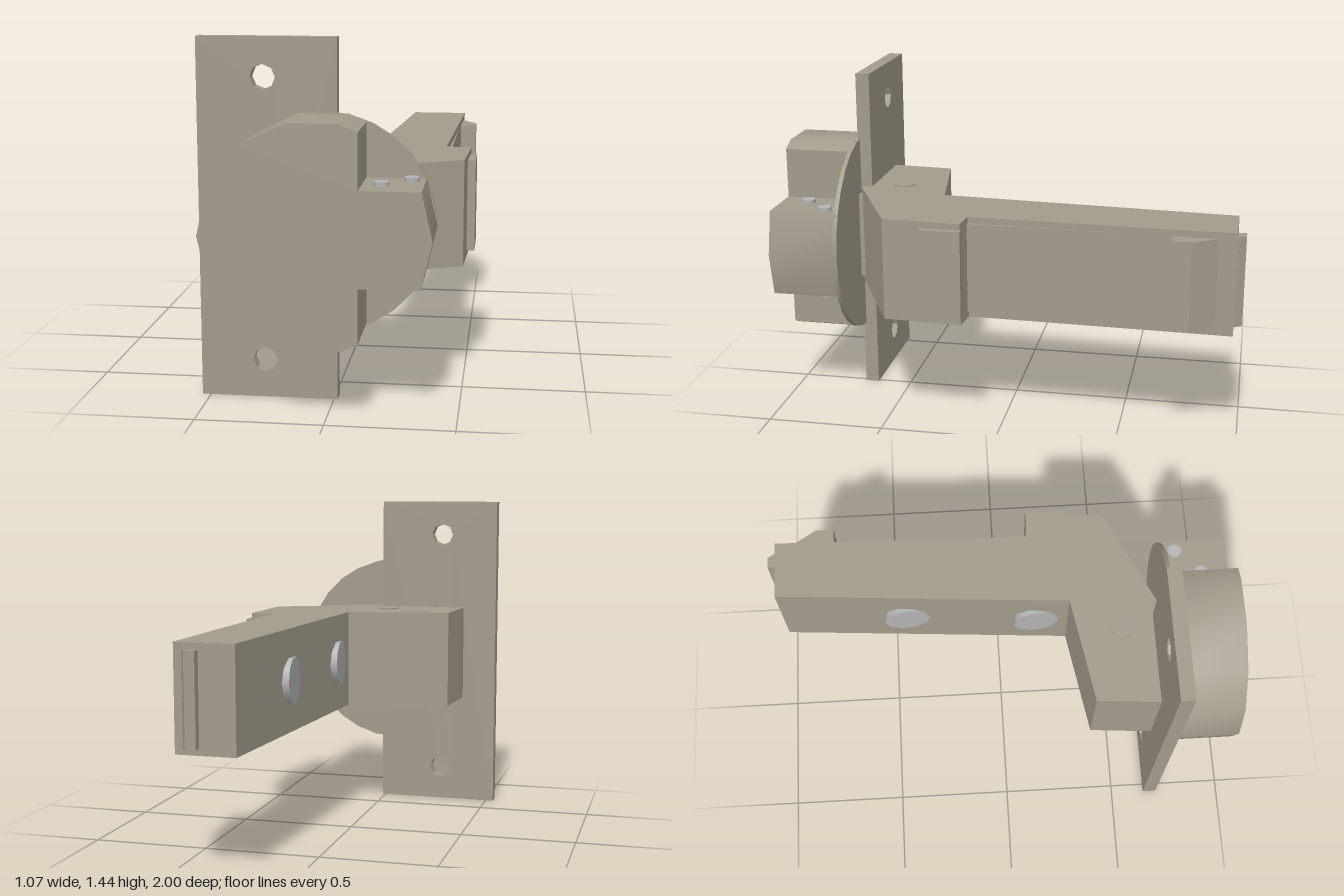
import * as THREE from 'three';
import { toCreasedNormals } from 'three/addons/utils/BufferGeometryUtils.js';

const steel = new THREE.MeshStandardMaterial({ color: 0xa39b8b });
const rivetSteel = new THREE.MeshStandardMaterial({ color: 0xb4b4b4 });
const MID = 0.72; // height of the mirror plane

export function createModel() {
  const group = new THREE.Group();

  const add = (name, geometry, material = steel) => {
    const mesh = new THREE.Mesh(geometry, material);
    mesh.name = name;
    group.add(mesh);
    return mesh;
  };
  const shapeOf = (pts) => new THREE.Shape(pts.map(([x, y]) => new THREE.Vector2(x, y)));

  // Plan outline in (x, z), extruded upward and centred on MID
  const plan = (pts, height) => {
    const g = new THREE.ExtrudeGeometry(shapeOf(pts.map(([x, z]) => [x, -z])), { depth: height, bevelEnabled: false });
    g.rotateX(-Math.PI / 2);
    g.translate(0, MID - height / 2, 0);
    return g;
  };
  // Front outline in (x, y), extruded from z0 to z1
  const front = (shape, z0, z1) => {
    const g = new THREE.ExtrudeGeometry(shape, { depth: z1 - z0, bevelEnabled: false });
    g.translate(0, 0, z0);
    return g;
  };

  // Mounting plate with two octagonal screw holes
  const plate = shapeOf([[-0.535, 0], [0.015, 0], [0.015, 1.44], [-0.535, 1.44]]);
  for (const y of [0.155, 1.285]) {
    const hole = [];
    for (let i = 0; i < 8; i++) {
      const a = (i / 8) * Math.PI * 2;
      hole.push(new THREE.Vector2(-0.275 + 0.05 * Math.cos(a), y + 0.05 * Math.sin(a)));
    }
    plate.holes.push(new THREE.Path(hole.reverse()));
  }
  add('mountingPlate', front(plate, 0.65, 0.71));

  // Fourteen-sided cup with two notches at its left side
  const cx = -0.035, r = 0.44;
  const outline = [[0.405, MID], [0.363, 0.905], [0.13, 0.905], [0.13, 1.12]];
  for (let i = 3; i <= 11; i++) {
    const a = (i / 14) * Math.PI * 2;
    outline.push([cx + r * Math.cos(a), MID + r * Math.sin(a)]);
  }
  outline.push([0.13, 0.32], [0.13, 0.535], [0.363, 0.535]);
  add('cup', toCreasedNormals(front(shapeOf(outline), 0.71, 1), 0.6));

  // Thin round rim closing the back of the cup
  const rim = new THREE.CylinderGeometry(0.4375, 0.4375, 0.018, 28);
  rim.rotateX(Math.PI / 2);
  rim.translate(cx, MID, 0.709);
  add('cupRim', rim);

  // Cranked arm
  add('arm', plan([
    [-0.382, 0.66], [-0.36, 0.38], [0.095, 0.3], [0.185, -0.965], [0.435, -0.965],
    [0.405, 0.13], [0.51, 0.14], [0.495, 0.47], [0.02, 0.7], [-0.1, 0.7], [-0.1, 0.66],
  ], 0.435));

  // Link between arm and cup
  add('cupLink', plan([[0, 0.68], [0.06, 0.68], [0.06, 0.71], [0, 0.71]], 0.375));

  // Inset panel, front pad, rear catch and end tab
  add('armPanel', plan([[0.35, 0.14], [0.35, -0.72], [0.425, -0.72], [0.42, 0.14]], 0.38));
  add('frontPad', plan([[0.45, 0.14], [0.535, 0.135], [0.535, 0.308], [0.45, 0.308]], 0.38));
  add('rearCatch', plan([[0.4, -0.89], [0.437, -0.89], [0.5, -0.79], [0.5, -0.71], [0.4, -0.71]], 0.38));
  add('endTab', plan([[0.335, -0.95], [0.335, -1], [0.38, -1], [0.4, -0.968], [0.4, -0.95]], 0.38));

  // Adjusting screw heads, square to the sloping side of the arm
  const slope = Math.atan2(0.09, 1.265);
  for (const z of [-0.41, 0.16]) {
    const g = new THREE.CylinderGeometry(0.1, 0.1, 0.03, 10);
    g.rotateZ(Math.PI / 2);
    g.rotateY(slope);
    g.translate(0.095 + (0.3 - z) * 0.0711, MID, z);
    add('screwHead', g, rivetSteel);
  }

  // Pivot pin and notch rivets, mirrored above and below
  for (const s of [1, -1]) {
    const rivet = (name, x, z, radius, offset, height, material) => {
      const g = new THREE.CylinderGeometry(radius, radius, height, 12);
      add(name, g, material).position.set(x, MID + s * offset, z);
    };
    rivet('pivotPin', -0.044, 0.515, 0.048, 0.214, 0.018, steel);
    rivet('cupRivet', 0.205, 0.88, 0.03, 0.188, 0.026, rivetSteel);
    rivet('cupRivet', 0.31, 0.775, 0.03, 0.188, 0.026, rivetSteel);
  }
  return group;
}
